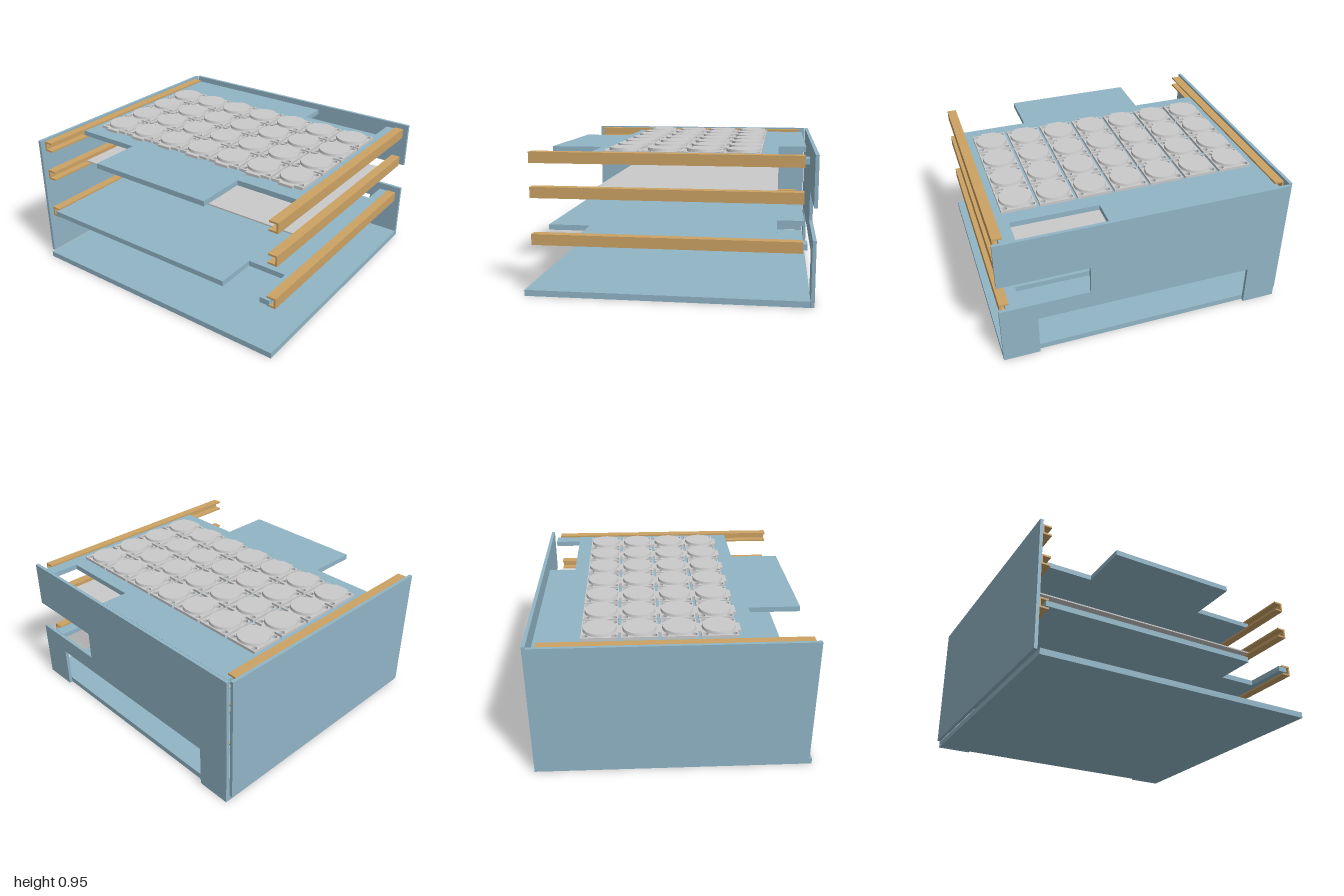
import * as THREE from 'three';

const blue = new THREE.MeshStandardMaterial({ color: 0x90b4c5 });
blue.name = 'panelBlue';
const tan = new THREE.MeshStandardMaterial({ color: 0xcca264 });
tan.name = 'railTan';
const grey = new THREE.MeshStandardMaterial({ color: 0xcacaca });
grey.name = 'partGrey';

function add(parent, name, geometry, material) {
  const mesh = new THREE.Mesh(geometry, material);
  mesh.name = name;
  parent.add(mesh);
  return mesh;
}

// Box given by its minimum and maximum corners
function box(x0, y0, z0, x1, y1, z1) {
  return new THREE.BoxGeometry(x1 - x0, y1 - y0, z1 - z0)
    .translate((x0 + x1) / 2, (y0 + y1) / 2, (z0 + z1) / 2);
}

function outline(points) {
  return new THREE.Shape(points.map(([a, b]) => new THREE.Vector2(a, b)));
}

// Extrude an outline drawn in (x, z) upward from y0 to y1
function slab(shape, y0, y1) {
  return new THREE.ExtrudeGeometry(shape, { depth: y1 - y0, bevelEnabled: false, curveSegments: 8 })
    .rotateX(Math.PI / 2).translate(0, y1, 0);
}

export function createModel() {
  const model = new THREE.Group();
  model.name = 'openCabinet';

  // Enclosure
  add(model, 'basePlate', box(-0.975, 0, -0.895, 1, 0.04, 0.92), blue);
  add(model, 'sidePanel', box(-1, 0.042, -0.893, -0.978, 0.94, 0.895), blue);
  const back = outline([
    [-0.975, 0], [-0.74, 0], [-0.74, 0.295], [0.755, 0.295], [0.755, 0], [1, 0],
    [1, 0.42], [0.4, 0.42], [0.4, 0.62], [1, 0.62], [1, 0.94], [-0.975, 0.94],
  ]);
  add(model, 'backPanel', new THREE.ExtrudeGeometry(back, { depth: 0.023, bevelEnabled: false })
    .translate(0, 0, -0.92), blue);

  // Channel rails, open toward the middle
  const cx = 0.0075;
  for (const side of [-1, 1]) {
    for (const y of [0.335, 0.638, 0.86]) {
      const a = 0.913, b = 0.977, t = 0.012, h = 0.071;
      const profile = outline([
        [a, 0], [b, 0], [b, h], [a, h], [a, h - t], [b - t, h - t], [b - t, t], [a, t],
      ].map(([x, v]) => [side * x, v]));
      const rail = add(model, side > 0 ? 'leftRail' : 'rightRail',
        new THREE.ExtrudeGeometry(profile, { depth: 1.705, bevelEnabled: false }), tan);
      rail.position.set(cx, y, -0.84);
    }
  }

  // Shelves share a cable cutout along the back edge
  const L = -0.93, R = 0.945, F = 0.875, B = -0.868;
  const backEdge = [[R, B], [0.845, B], [0.845, -0.68], [0.26, -0.68], [0.26, B], [L, B]];
  add(model, 'topShelf', slab(outline([
    [L, 0.525], [-0.445, 0.525], [-0.445, F], [0.46, F], [0.46, 0.525], [R, 0.525], ...backEdge,
  ]), 0.874, 0.91), blue);
  add(model, 'bottomShelf', slab(outline([
    [L, F], [0.6, F], [0.6, 0.585], [0.877, 0.585], [0.877, F], [R, F], ...backEdge,
  ]), 0.348, 0.385), blue);
  add(model, 'middlePlate', box(-0.94, 0.652, -0.68, 0.955, 0.662, 0.52), grey);

  // Round units on square flanges with corner holes and a front tab
  const s = 0.115, c = 0.09;
  const flange = outline([
    [-s, -s], [s, -s], [s, s], [0.052, s], [0.052, 0.136], [-0.052, 0.136], [-0.052, s], [-s, s],
  ]);
  for (const x of [-c, c]) {
    for (const z of [-c, c]) {
      flange.holes.push(new THREE.Path().absarc(x, z, 0.018, 0, Math.PI * 2, true));
    }
  }
  const flangeGeometry = slab(flange, 0.91, 0.929);
  const discGeometry = new THREE.CylinderGeometry(0.104, 0.108, 0.018, 40).translate(0, 0.938, 0);
  for (let row = 0; row < 4; row++) {
    for (let col = 0; col < 7; col++) {
      const unit = new THREE.Group();
      unit.name = 'roundUnit';
      unit.position.set(-0.745 + col * 0.25, 0, -0.46 + row * 0.25);
      add(unit, 'unitFlange', flangeGeometry, grey);
      add(unit, 'unitDisc', discGeometry, grey);
      model.add(unit);
    }
  }
  return model;
}
